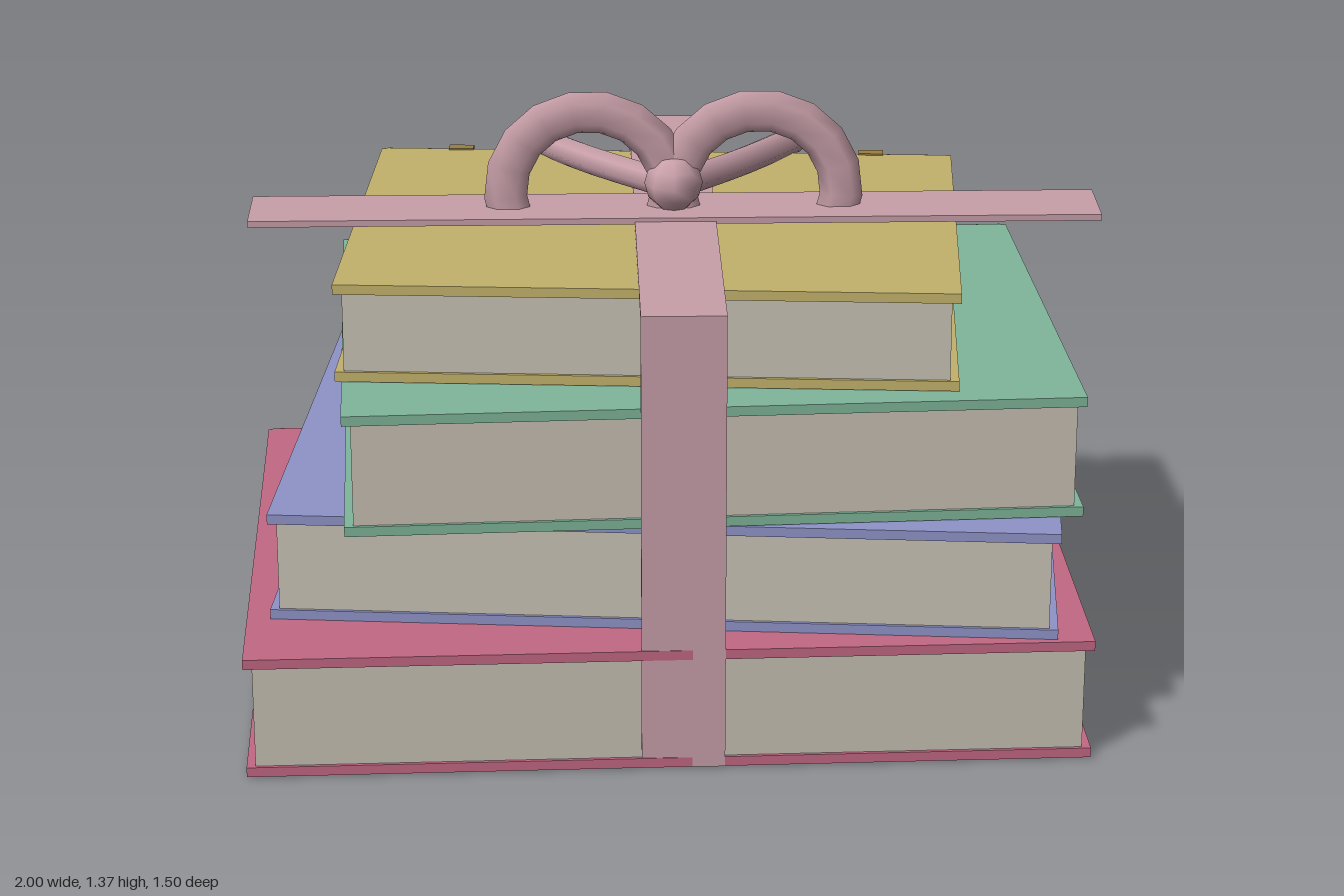
import * as THREE from 'three';
import { RoundedBoxGeometry } from 'three/addons/geometries/RoundedBoxGeometry.js';

const paint = (name, color) => {
  const m = new THREE.MeshStandardMaterial({ color });
  m.name = name;
  return m;
};

export function createModel() {
  const root = new THREE.Group();
  root.name = 'giftBookStack';
  const pagesMat = paint('paper', 0xc8c1b3);
  const goldMat = paint('gold band', 0x9a7f45);
  const ribbonMat = paint('ribbon pink', 0xc89fa9);

  const add = (parent, name, geometry, material, x = 0, y = 0, z = 0) => {
    const mesh = new THREE.Mesh(geometry, material);
    mesh.name = name;
    mesh.position.set(x, y, z);
    parent.add(mesh);
    return mesh;
  };
  const box = (parent, name, material, w, h, d, x, y, z) =>
    add(parent, name, new THREE.BoxGeometry(w, h, d), material, x, y, z);

  // Hardback book with its spine at the back
  function makeBook({ name, color, w, d, y0, y1, x, z, turn }) {
    const book = new THREE.Group();
    book.name = name;
    book.position.set(x, y0, z);
    book.rotation.y = turn;
    const mat = paint(name + ' cover', color);
    const h = y1 - y0, t = 0.023, back = -d / 2;
    for (const [part, y] of [['bottomCover', t / 2], ['topCover', h - t / 2]]) {
      box(book, part, mat, w, t, d - 0.018, 0, y, 0.009);
    }
    box(book, 'pages', pagesMat, w - 0.04, h - 2 * t + 0.004, d - 0.04, 0, h / 2, 0.012);
    add(book, 'spine', new RoundedBoxGeometry(w, h, 0.04, 2, 0.014), mat, 0, h / 2, back + 0.02);
    // Gold bands across the spine
    for (const side of [-1, 1]) {
      box(book, 'spineBand', goldMat, 0.06, h + 0.008, 0.03, side * 0.36 * w, h / 2, back + 0.008);
    }
    root.add(book);
  }

  [
    { name: 'redBook', color: 0xc26885, w: 1.905, d: 1.405, y0: 0.005, y1: 0.293, x: -0.034, z: 0.0175, turn: 0.026 },
    { name: 'blueBook', color: 0x8e94c8, w: 1.78, d: 1.27, y0: 0.294, y1: 0.55, x: 0.024, z: -0.0275, turn: -0.09 },
    { name: 'greenBook', color: 0x80b69b, w: 1.652, d: 1.217, y0: 0.552, y1: 0.838, x: 0.06, z: 0.016, turn: 0.045 },
    { name: 'yellowBook', color: 0xc2b26c, w: 1.395, d: 1.02, y0: 0.84, y1: 1.07, x: -0.03, z: -0.01, turn: -0.07 },
  ].forEach(makeBook);

  // Flat ribbon strips, the narrow pair hanging down front and back
  const ribbon = new THREE.Group();
  ribbon.name = 'ribbon';
  root.add(ribbon);
  const cx = 0.0125, cz = -0.0125;
  box(ribbon, 'ribbonAcross', ribbonMat, 1.975, 0.015, 0.185, cx, 1.0875, cz);
  box(ribbon, 'ribbonLengthwise', ribbonMat, 0.188, 0.015, 1.47, cx, 1.0785, -0.0165);
  box(ribbon, 'ribbonFront', ribbonMat, 0.188, 1.075, 0.015, cx, 0.5425, 0.711);
  box(ribbon, 'ribbonBack', ribbonMat, 0.188, 1.075, 0.015, cx, 0.5425, -0.7365);

  // Bow: knot, two flattened loops and two tails trailing backwards
  const bow = new THREE.Group();
  bow.name = 'bow';
  bow.position.set(0.01, 0, cz);
  root.add(bow);
  add(bow, 'knot', new THREE.SphereGeometry(0.068, 8, 6), ribbonMat, 0, 1.152, 0.003);
  const arc = 4.0;
  for (const side of [-1, 1]) {
    const loop = add(bow, 'bowLoop', new THREE.TorusGeometry(0.193, 0.05, 6, 11, arc), ribbonMat, side * 0.198, 1.132, 0);
    loop.rotation.z = (Math.PI - arc) / 2;
    loop.scale.z = 0.48;

    const path = new THREE.CatmullRomCurve3([
      new THREE.Vector3(side * 0.02, 1.145, -0.02),
      new THREE.Vector3(side * 0.17, 1.118, -0.26),
      new THREE.Vector3(side * 0.315, 1.088, -0.535),
    ]);
    add(bow, 'bowTail', new THREE.TubeGeometry(path, 6, 0.034, 7), ribbonMat);
    // Closed end of the tail
    const end = path.getPoint(1);
    const cap = add(bow, 'tailEnd', new THREE.CircleGeometry(0.034, 7), ribbonMat, end.x, end.y, end.z);
    cap.quaternion.setFromUnitVectors(new THREE.Vector3(0, 0, 1), path.getTangent(1));
  }
  return root;
}
